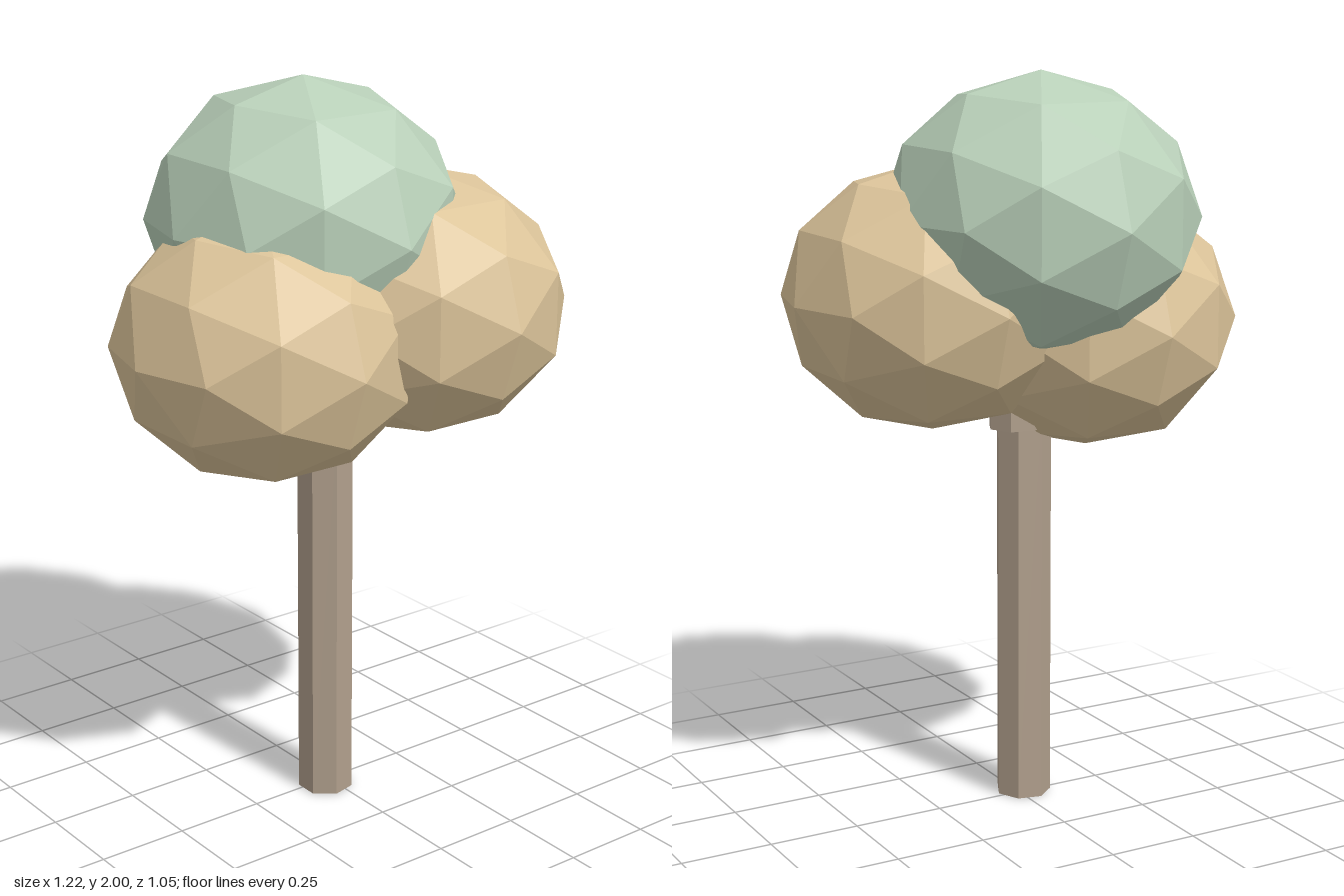
import * as THREE from 'three';

const bark = new THREE.MeshStandardMaterial({ color: 0xb09f8c, flatShading: true });
bark.name = 'bark';
const tanLeaf = new THREE.MeshStandardMaterial({ color: 0xdcc49a, flatShading: true });
tanLeaf.name = 'tan leaves';
const greenLeaf = new THREE.MeshStandardMaterial({ color: 0xb9d0b9, flatShading: true });
greenLeaf.name = 'green leaves';

// Faceted ball of leaves, squashed into an ellipsoid
function foliage(name, material, position, radii) {
  const mesh = new THREE.Mesh(new THREE.IcosahedronGeometry(1, 1), material);
  mesh.name = name;
  mesh.position.set(...position);
  mesh.scale.set(...radii);
  return mesh;
}

// Seven-sided upright post with one corner pointing to +x
function post(name, bottom, top, x, z, radiusTop, radiusBottom) {
  const geometry = new THREE.CylinderGeometry(
    radiusTop, radiusBottom, top - bottom, 7, 1, false, Math.PI / 2);
  const mesh = new THREE.Mesh(geometry, bark);
  mesh.name = name;
  mesh.position.set(x, (bottom + top) / 2, z);
  return mesh;
}

export function createModel() {
  const tree = new THREE.Group();
  tree.name = 'tree';

  // Trunk, and the offset stub that carries the crown
  tree.add(post('trunk', 0, 1.1, -0.021, 0.015, 0.0763, 0.0763));
  tree.add(post('upperTrunk', 1.05, 1.4, 0.014, -0.006, 0.07, 0.0763));

  // Crown
  tree.add(foliage('leftFoliage', tanLeaf, [0.21, 1.405, 0.1], [0.395, 0.36, 0.427]));
  tree.add(foliage('rightFoliage', tanLeaf, [-0.215, 1.335, 0.01], [0.395, 0.36, 0.427]));
  tree.add(foliage('topFoliage', greenLeaf, [-0.02, 1.625, -0.08], [0.41, 0.375, 0.447]));
  return tree;
}
